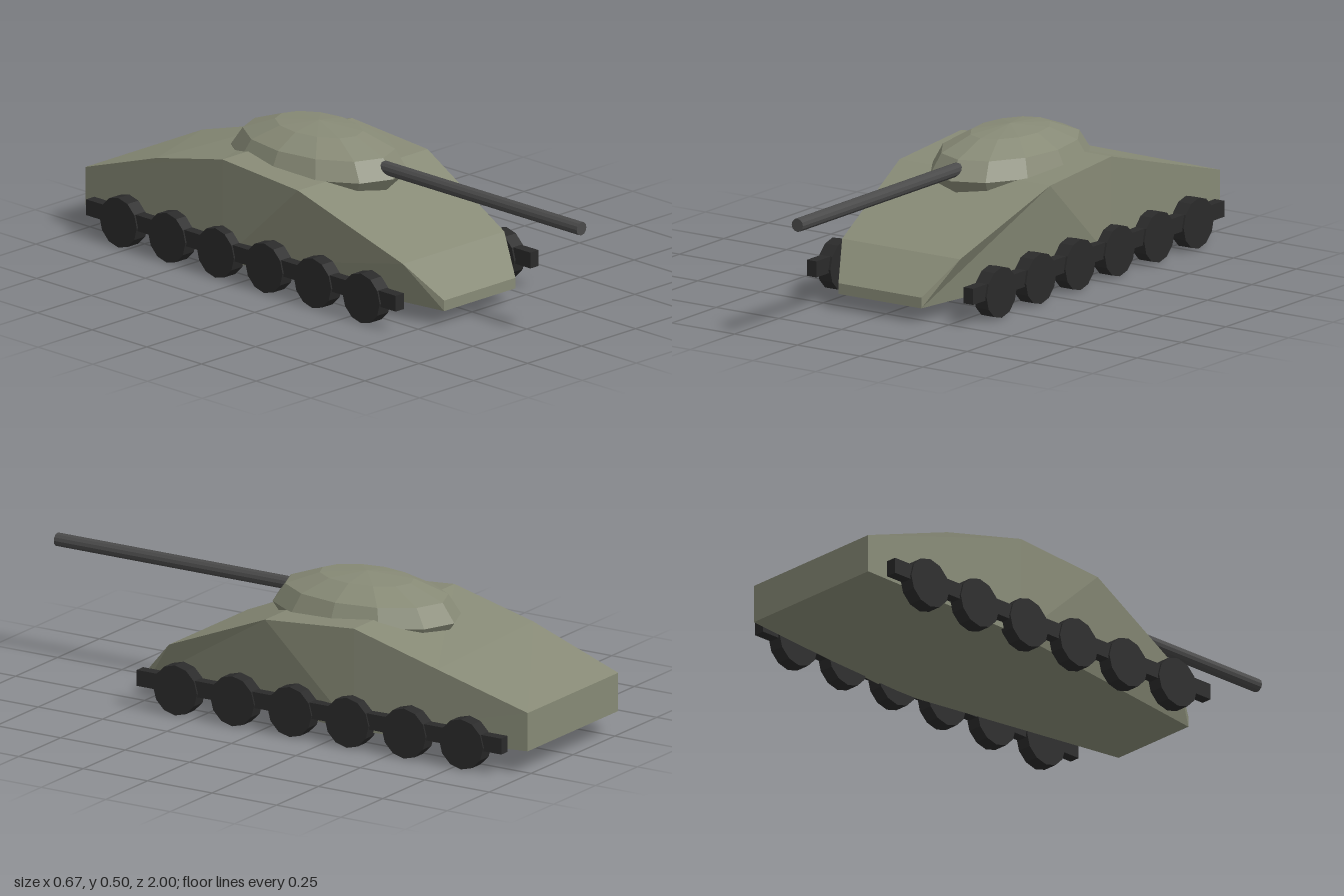
import * as THREE from 'three';

const paint = (color) => new THREE.MeshStandardMaterial({ color, flatShading: true });

// Hull outline, closed loop front to back: [half width, y, z]
const HULL = [
  [0.165, 0.05, 0.535],  // 0 nose bottom
  [0.165, 0.086, 0.535], // 1 nose top
  [0.235, 0.2, 0.415],   // 2 glacis
  [0.3, 0.37, 0],        // 3 deck front
  [0.3, 0.396, -0.345],  // 4 deck peak
  [0.286, 0.306, -0.66], // 5 engine deck
  [0.27, 0.21, -1],      // 6 tail top
  [0.27, 0.08, -1],      // 7 tail bottom
  [0.3, 0.05, -0.345],   // 8 belly
];
// Side panels, counter-clockwise seen from +x
const SIDES = [[0, 2, 1], [0, 8, 3, 2], [8, 4, 3], [8, 7, 6, 5, 4]];

function hullGeometry() {
  const left = HULL.map((p) => new THREE.Vector3(...p));
  const right = HULL.map(([x, y, z]) => new THREE.Vector3(-x, y, z));
  right[5].y += 0.018; // the right edge of the engine deck is slightly raised
  const points = [];
  const face = (corners) => {
    for (let i = 1; i < corners.length - 1; i++) points.push(corners[0], corners[i], corners[i + 1]);
  };
  for (const side of SIDES) {
    face(side.map((i) => left[i]));
    face(side.map((i) => right[i]).reverse());
  }
  // Plates across the hull, once around the loop
  for (let i = 0; i < HULL.length; i++) {
    const j = (i + 1) % HULL.length;
    face([right[i], left[i], left[j], right[j]]);
  }
  const geometry = new THREE.BufferGeometry().setFromPoints(points);
  geometry.computeVertexNormals();
  return geometry;
}

export function createModel() {
  const model = new THREE.Group();
  model.name = 'tank';
  const olive = paint(0x878a76);
  const dark = paint(0x2a2a2a);
  const steel = paint(0x4a4a4a);

  const add = (parent, name, geometry, material, x = 0, y = 0, z = 0) => {
    const mesh = new THREE.Mesh(geometry, material);
    mesh.name = name;
    mesh.position.set(x, y, z);
    parent.add(mesh);
    return mesh;
  };

  add(model, 'hull', hullGeometry(), olive);

  // Flattened low-poly dome, its lower half sunk into the hull
  const dome = new THREE.SphereGeometry(1, 12, 6).scale(0.219, 0.125, 0.34);
  add(model, 'turret', dome, olive, 0, 0.37, -0.2);

  // Gun barrel
  const barrel = new THREE.CylinderGeometry(0.0225, 0.0225, 1, 12).rotateX(Math.PI / 2);
  add(model, 'gunBarrel', barrel, steel, 0, 0.402, 0.5);

  // Running gear: six wheels and a bar on each side
  const wheel = new THREE.CylinderGeometry(0.085, 0.085, 0.051, 12).rotateZ(Math.PI / 2);
  const bar = new THREE.BoxGeometry(0.038, 0.054, 1.415);
  for (const side of [1, -1]) {
    const gear = new THREE.Group();
    gear.name = side > 0 ? 'leftRunningGear' : 'rightRunningGear';
    add(gear, 'trackBar', bar, dark, side * 0.312, 0.101, -0.23);
    for (let i = 0; i < 6; i++) {
      add(gear, 'roadWheel', wheel, dark, side * 0.3115, 0.085, 0.325 - i * 0.222);
    }
    model.add(gear);
  }
  return model;
}
